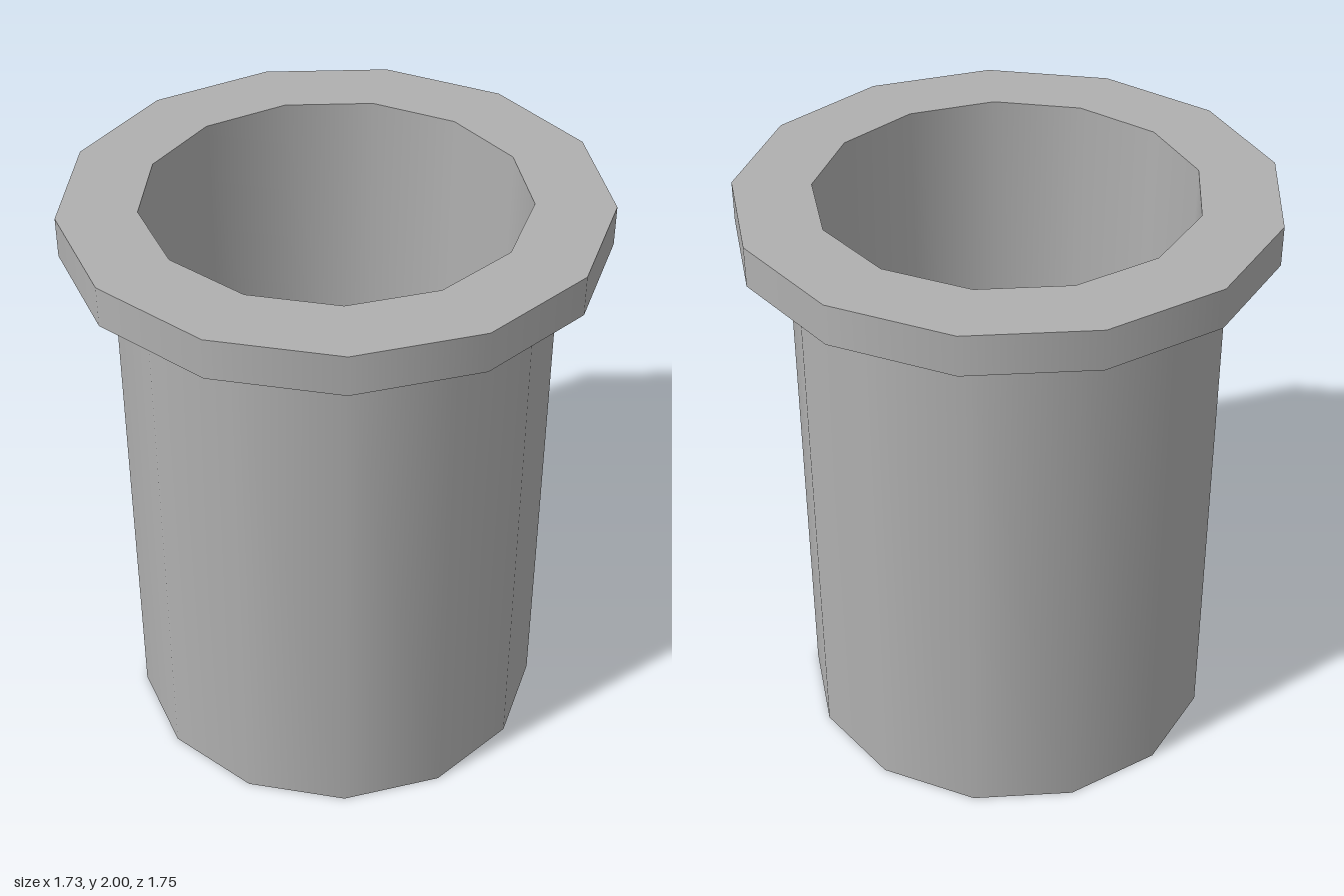
import * as THREE from 'three';

const SIDES = 13;

export function createModel() {
  const model = new THREE.Group();
  model.name = 'flangedPot';

  const grey = new THREE.MeshStandardMaterial({ color: 0xb0b0b0 });
  grey.name = 'grey';
  const brown = new THREE.MeshStandardMaterial({ color: 0xa87b5e });
  brown.name = 'brown';

  // One smooth band of the thirteen-sided body; separate bands keep edges sharp
  function band(name, material, points) {
    const profile = points.map(([r, y]) => new THREE.Vector2(r, y));
    const mesh = new THREE.Mesh(new THREE.LatheGeometry(profile, SIDES, Math.PI / 2), material);
    mesh.name = name;
    model.add(mesh);
  }

  const outer = 0.716, flange = 0.88, hole = 0.624, floorRadius = 0.61;
  const floorY = 0.05, pin = 0.025;

  // Underside
  band('bottomPin', grey, [[0, 0], [pin, 0]]);
  band('bottom', brown, [[pin, 0], [outer, 0]]);

  // Outer wall and flange
  band('outerWall', grey, [[outer, 0], [outer, 1.825]]);
  band('flangeUnderside', grey, [[outer, 1.825], [flange, 1.865]]);
  band('flangeEdge', grey, [[flange, 1.865], [flange, 2]]);
  band('flangeTop', grey, [[flange, 2], [hole, 2]]);

  // Tapered inside and floor
  band('innerWall', grey, [[hole, 2], [floorRadius, floorY]]);
  band('floor', brown, [[floorRadius, floorY], [pin, floorY]]);
  band('floorPin', grey, [[pin, floorY], [0, floorY]]);

  // Centre the odd-sided outline between its corner and its flat
  model.position.x = -flange * (1 - Math.cos(Math.PI / SIDES)) / 2;
  return model;
}
